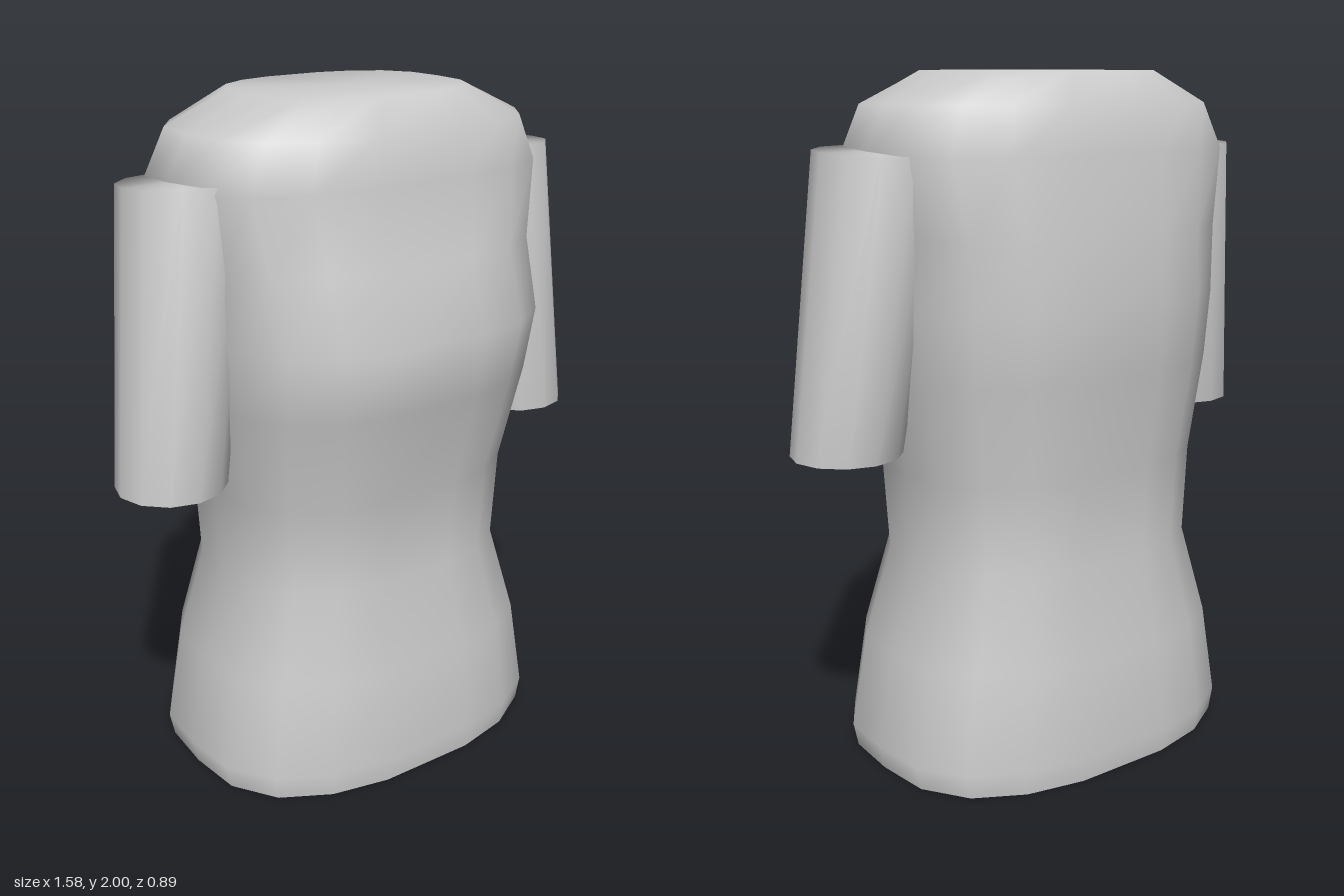
import * as THREE from 'three';

// Skin a stack of rings (bottom to top, corners counter-clockwise seen from above),
// with an open bottom and a closed top.
function loft(rings) {
  const n = rings[0].length;
  const pos = [], index = [];
  rings.forEach((ring) => ring.forEach((p) => pos.push(p.x, p.y, p.z)));
  for (let r = 0; r < rings.length - 1; r++) {
    for (let i = 0; i < n; i++) {
      const a = r * n + i, b = r * n + ((i + 1) % n);
      index.push(a, b, b + n, a, b + n, a + n);
    }
  }
  const last = rings[rings.length - 1];
  const c = last.reduce((s, p) => s.add(p), new THREE.Vector3()).divideScalar(n);
  const centre = rings.length * n, start = centre - n;
  pos.push(c.x, c.y, c.z);
  for (let i = 0; i < n; i++) index.push(start + i, start + ((i + 1) % n), centre);
  const geo = new THREE.BufferGeometry();
  geo.setAttribute('position', new THREE.Float32BufferAttribute(pos, 3));
  geo.setIndex(index);
  geo.computeVertexNormals();
  return geo;
}

// Rounded-box outline: one quadrant from front to side, mirrored to all four
const quadrant = [[0.27, 1], [0.58, 0.91], [0.83, 0.72], [0.975, 0.41]];
const mirrored = (sx, sz) => quadrant.map(([u, v]) => [u * sx, v * sz]);
const outline = [
  ...mirrored(1, 1), [1, 0], ...mirrored(1, -1).reverse(),
  ...mirrored(-1, -1), [-1, 0], ...mirrored(-1, 1).reverse(),
];

// Torso levels: height, half width, front z, back z
const levels = [
  [0, 0.565, 0.405, -0.44],
  [0.07, 0.58, 0.41, -0.445],
  [0.35, 0.53, 0.39, -0.425],
  [0.62, 0.45, 0.335, -0.375],
  [0.88, 0.465, 0.345, -0.38],
  [1.17, 0.51, 0.415, -0.415],
  [1.36, 0.525, 0.45, -0.43],
  [1.56, 0.535, 0.375, -0.41],
  [1.78, 0.58, 0.34, -0.385],
  [1.91, 0.52, 0.32, -0.355],
  [2, 0.33, 0.25, -0.29],
];

function torsoRing([y, w, front, back]) {
  const mid = (front + back) / 2, depth = (front - back) / 2;
  return outline.map(([u, v]) => new THREE.Vector3(u * w, y, mid + v * depth));
}

function sleeveRing(x, y, z, radius, tilt) {
  return Array.from({ length: 12 }, (_, i) => {
    const a = (i / 12) * Math.PI * 2;
    const dz = Math.cos(a) * radius;
    return new THREE.Vector3(x + Math.sin(a) * radius, y + dz * tilt, z + dz);
  });
}

export function createModel() {
  const group = new THREE.Group();
  const material = new THREE.MeshStandardMaterial({ color: 0xcccccc, side: THREE.DoubleSide });
  const add = (name, geometry) => {
    const mesh = new THREE.Mesh(geometry, material);
    mesh.name = name;
    group.add(mesh);
  };

  // Body with open hem
  add('torso', loft(levels.map(torsoRing)));

  // Short sleeves hanging outward, open at the cuff
  for (const side of [1, -1]) {
    add(side > 0 ? 'leftSleeve' : 'rightSleeve', loft([
      sleeveRing(side * 0.633, 0.96, 0.027, 0.157, 0),
      sleeveRing(side * 0.53, 1.79, -0.018, 0.18, 0.05),
    ]));
  }
  return group;
}
